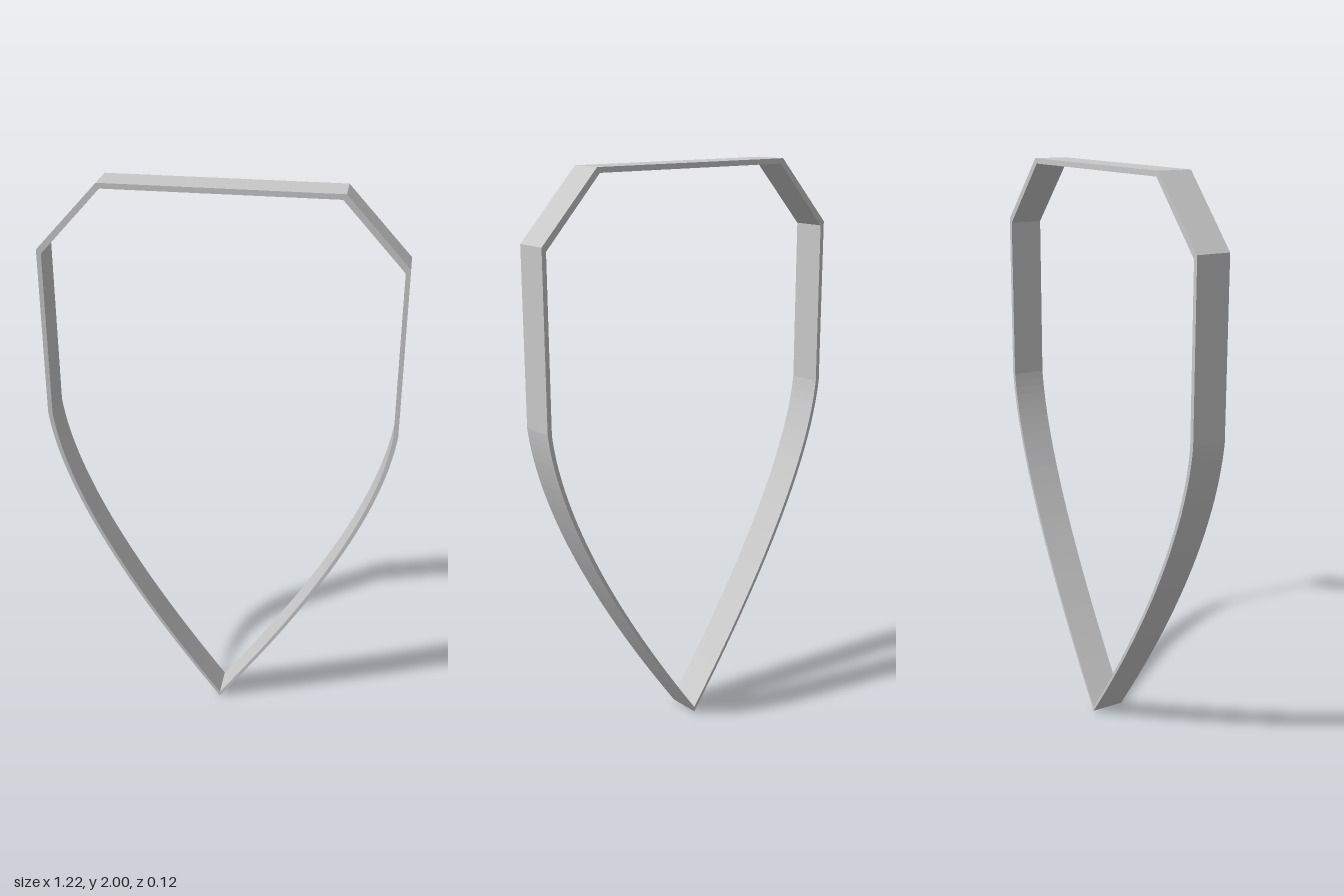
import * as THREE from 'three';

const DEPTH = 0.12;

// Shield outline: pointed base, curved flanks, straight sides and chamfered top corners.
// sx and sy shrink it about its middle, giving the inner edge of the band.
function trace(path, sx = 1, sy = 1) {
  const X = (x) => x * sx;
  const Y = (y) => 1 + (y - 1) * sy;
  path.moveTo(X(0), Y(0));
  path.quadraticCurveTo(X(0.56), Y(0.76), X(0.608), Y(1.18));
  path.lineTo(X(0.608), Y(1.77));
  path.lineTo(X(0.396), Y(2));
  path.lineTo(X(-0.396), Y(2));
  path.lineTo(X(-0.608), Y(1.77));
  path.lineTo(X(-0.608), Y(1.18));
  path.quadraticCurveTo(X(-0.56), Y(0.76), X(0), Y(0));
  return path;
}

export function createModel() {
  const group = new THREE.Group();
  group.name = 'shieldFrame';

  const metal = new THREE.MeshStandardMaterial({ color: 0xc8c8c8 });
  metal.name = 'light grey metal';

  // Thin rim, open through the middle
  const shape = trace(new THREE.Shape());
  shape.holes.push(trace(new THREE.Path(), 0.974, 0.982));
  const geometry = new THREE.ExtrudeGeometry(shape, {
    depth: DEPTH,
    bevelEnabled: false,
    curveSegments: 32,
  });
  geometry.translate(0, 0, -DEPTH / 2);

  const rim = new THREE.Mesh(geometry, metal);
  rim.name = 'rim';
  group.add(rim);
  return group;
}
